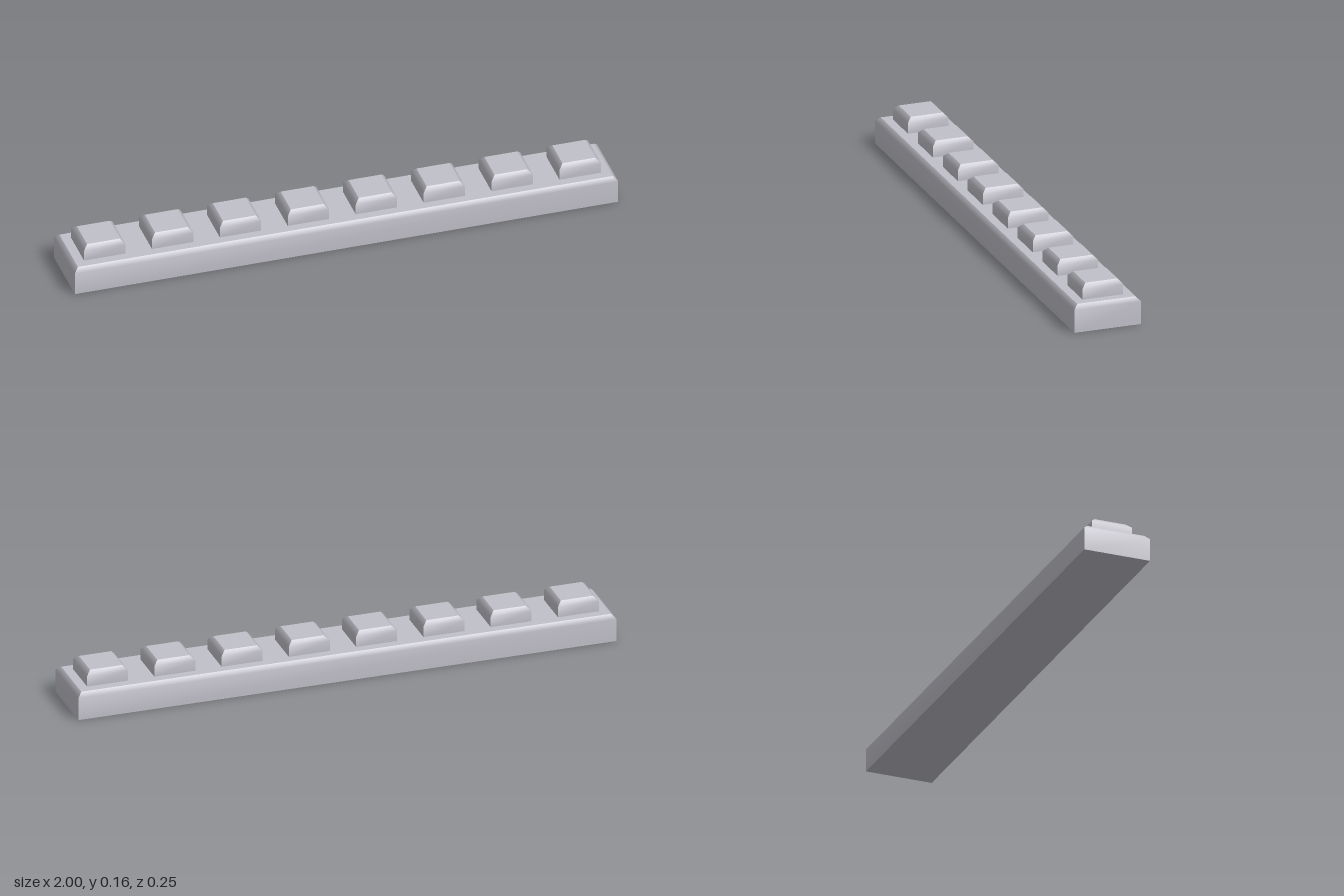
import * as THREE from 'three';

// Block with a bevelled top rim; each side blends smoothly into its own bevel.
function bevelledBlock(halfX, halfZ, y0, y1, bevel, closedBottom) {
  const rows = [[0, y0], [0, y1 - bevel], [bevel, y1]]; // [inset, height]
  const corners = [[-1, 1], [1, 1], [1, -1], [-1, -1]]; // counter-clockwise from above
  const pos = [], index = [];
  const add = ([sx, sz], [inset, y]) =>
    pos.push(sx * (halfX - inset), y, sz * (halfZ - inset));
  const quad = (a, b, c, d) => index.push(a, b, c, a, c, d);

  // Four sides, with unshared vertices so vertical corners stay sharp
  for (let s = 0; s < 4; s++) {
    const base = pos.length / 3;
    for (const row of rows) {
      add(corners[s], row);
      add(corners[(s + 1) % 4], row);
    }
    for (let r = 0; r < rows.length - 1; r++) {
      const k = base + r * 2;
      quad(k, k + 1, k + 3, k + 2);
    }
  }
  // Flat top and optional underside
  let n = pos.length / 3;
  corners.forEach((c) => add(c, rows[2]));
  quad(n, n + 1, n + 2, n + 3);
  if (closedBottom) {
    n += 4;
    corners.forEach((c) => add(c, rows[0]));
    quad(n + 3, n + 2, n + 1, n);
  }

  const geometry = new THREE.BufferGeometry();
  geometry.setAttribute('position', new THREE.Float32BufferAttribute(pos, 3));
  geometry.setIndex(index);
  geometry.computeVertexNormals();
  return geometry;
}

export function createModel() {
  const model = new THREE.Group();
  model.name = 'studdedBar';
  const grey = new THREE.MeshStandardMaterial({ color: 0xc1c0c9 });
  grey.name = 'light grey';

  // Long base bar
  const bar = new THREE.Mesh(bevelledBlock(1, 0.125, 0, 0.101, 0.016, true), grey);
  bar.name = 'baseBar';
  model.add(bar);

  // Row of eight square studs
  const studGeometry = bevelledBlock(0.076, 0.076, 0.101, 0.157, 0.016, false);
  for (let i = 0; i < 8; i++) {
    const stud = new THREE.Mesh(studGeometry, grey);
    stud.name = `stud${i + 1}`;
    stud.position.x = -0.875 + i * 0.25;
    model.add(stud);
  }
  return model;
}
